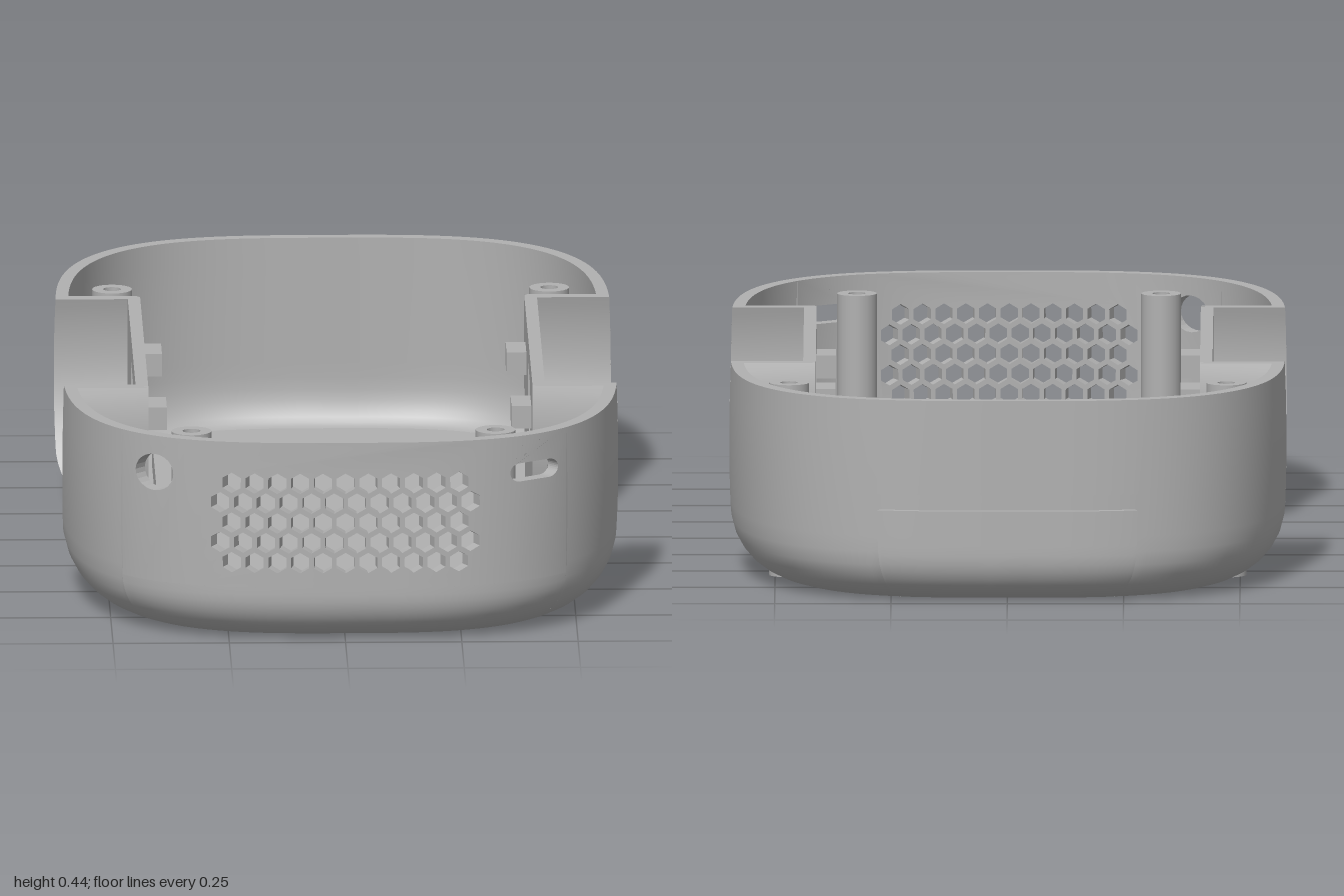
import * as THREE from 'three';

const N = 3.2, Z0 = 0.25, H = 0.44, FLOOR = 0.03, WALL = 0.027;
const WELL = { z: 0.02, y: 0.33, r: 0.425, x: 0.44 };

// Rounded bottom edge: how far the wall pulls in at height y
const inset = (y, r) => (y < r ? r * (1 - Math.sqrt(1 - (1 - Math.max(y, 0) / r) ** 2)) : 0);

// Point on the wall of one end (facing +z); phi runs across the end, inner picks the inside skin
function halfSize(y, inner) {
  const k = inner ? 0.45 : 1, h = inner ? y - FLOOR : y, t = inner ? WALL : 0;
  return [0.6 - t - k * inset(h, 0.12) - 0.15 * (y - 0.28) ** 2, 1 - t - k * inset(h, 0.1)];
}
function wallPoint(phi, y, inner, off = 0) {
  const [a, l] = halfSize(y, inner);
  const x = (a - off) * Math.sign(phi) * Math.abs(Math.sin(phi)) ** (2 / N);
  const z = Z0 + (l - off - Z0) * Math.max(Math.cos(phi), 0) ** (2 / N);
  return new THREE.Vector3(x, y, z);
}
const phiAt = x => Math.sign(x) * Math.asin((Math.abs(x) / 0.6) ** (N / 2));

// Where the round side well cuts the wall; e is 1 for the front end, -1 for the back
const wellZ = (y, e, inner) =>
  e * WELL.z + Math.sqrt((WELL.r + (inner ? 0.03 : 0)) ** 2 - (WELL.y - y) ** 2);
function phiMax(y, e, inner) {
  const l = halfSize(y, inner)[1];
  return Math.acos(Math.max(0, (wellZ(y, e, inner) - Z0) / (l - Z0)) ** (N / 2));
}

// Grid surface from a function of u and v in 0..1
function grid(fn, nu, nv) {
  const pos = [], index = [];
  for (let j = 0; j <= nv; j++) for (let i = 0; i <= nu; i++) pos.push(...fn(i / nu, j / nv).toArray());
  for (let j = 0; j < nv; j++) for (let i = 0; i < nu; i++) {
    const p = j * (nu + 1) + i, q = p + nu + 1;
    index.push(p, p + 1, q + 1, p, q + 1, q);
  }
  const g = new THREE.BufferGeometry();
  g.setAttribute('position', new THREE.Float32BufferAttribute(pos, 3));
  g.setIndex(index);
  g.computeVertexNormals();
  return g;
}

// Flat pierced panel bent onto the curved wall
function bentPanel(shape) {
  const g = new THREE.ExtrudeGeometry(shape, { depth: 1, bevelEnabled: false, curveSegments: 8 });
  const p = g.attributes.position, raw = p.clone();
  for (let i = 0; i < p.count; i++) {
    const v = wallPoint(phiAt(raw.getX(i)), raw.getY(i), raw.getZ(i) < 0.5);
    p.setXYZ(i, v.x, v.y, v.z);
  }
  g.computeVertexNormals();
  const lids = g.groups[0];
  for (let i = lids.start; i < lids.start + lids.count; i++) {
    const f = phiAt(raw.getX(i)), y = raw.getY(i), inner = raw.getZ(i) < 0.5, d = 0.004;
    const du = wallPoint(f + d, y, inner).sub(wallPoint(f - d, y, inner));
    const dv = wallPoint(f, y + d, inner).sub(wallPoint(f, y - d, inner));
    const n = du.cross(dv).normalize().multiplyScalar(inner ? -1 : 1);
    g.attributes.normal.setXYZ(i, n.x, n.y, n.z);
  }
  g.clearGroups();
  return g;
}
function rectShape(x0, x1, y0, y1, n) {
  const pts = [];
  for (let i = 0; i <= n; i++) pts.push(new THREE.Vector2(x0 + (x1 - x0) * i / n, y0));
  for (let i = n; i >= 0; i--) pts.push(new THREE.Vector2(x0 + (x1 - x0) * i / n, y1));
  return new THREE.Shape(pts);
}
function roundHole(x, y, r, n = 24, turn = 0) {
  const pts = [];
  for (let i = 0; i < n; i++) {
    const t = turn - i / n * Math.PI * 2;
    pts.push(new THREE.Vector2(x + r * Math.cos(t), y + r * Math.sin(t)));
  }
  return new THREE.Path(pts);
}

export function createModel() {
  const model = new THREE.Group();
  const grey = new THREE.MeshStandardMaterial({ color: 0xb0b0b0, side: THREE.DoubleSide });
  grey.name = 'plastic grey';
  const add = (name, geometry, parent = model) => {
    const m = new THREE.Mesh(geometry, grey);
    m.name = name;
    parent.add(m);
    return m;
  };

  // The two rounded ends
  const P = phiAt(0.48), S = phiAt(0.28);
  for (const e of [1, -1]) {
    const end = new THREE.Group();
    end.name = e > 0 ? 'frontEnd' : 'backEnd';
    if (e < 0) end.rotation.y = Math.PI;
    model.add(end);
    const strip = (name, from, to, y0, y1, inner, off = 0, nu = 32) =>
      add(name, grid((u, v) => {
        const y = y0 + (y1 - y0) * v * v;
        const a = from(y), b = to(y);
        return wallPoint(a + (b - a) * u, y, inner, off);
      }, nu, 14), end);
    const edge = (s, inner) => y => s * phiMax(y, e, inner);
    const at = f => () => f;
    const mid = e > 0 ? P : S;
    strip('rightCorner', edge(-1, false), at(-mid), 0, H, false);
    strip('leftCorner', at(mid), edge(1, false), 0, H, false);

    if (e > 0) {
      strip('lowerFront', at(-P), at(P), 0, 0.12, false, 0, 48);
      strip('innerLowerFront', at(-P), at(P), FLOOR, 0.12, true, 0, 48);
      strip('innerRight', edge(-1, true), at(-P), FLOOR, H, true);
      strip('innerLeft', at(P), edge(1, true), FLOOR, H, true);
      // Honeycomb vent
      const vent = rectShape(-0.34, 0.34, 0.12, H, 24);
      for (let r = 0; r < 5; r++) {
        const n = 11 + r % 2;
        for (let i = 0; i < n; i++)
          vent.holes.push(roundHole((i - (n - 1) / 2) * 0.049, 0.175 + r * 0.0437, 0.0225, 6, Math.PI / 6));
      }
      add('ventPanel', bentPanel(vent), end);
      // Round port and slot beside the vent
      const port = rectShape(-0.48, -0.34, 0.12, H, 10);
      port.holes.push(roundHole(-0.41, 0.36, 0.04));
      add('portPanel', bentPanel(port), end);
      const slot = rectShape(0.34, 0.48, 0.12, H, 10);
      const s = new THREE.Path();
      s.absarc(0.44, 0.36, 0.02, Math.PI / 2, -Math.PI / 2, true);
      s.absarc(0.376, 0.36, 0.02, -Math.PI / 2, -Math.PI * 1.5, true);
      slot.holes.push(s);
      add('slotPanel', bentPanel(slot), end);
    } else {
      // Shallow groove across the back
      strip('backBelowGroove', at(-S), at(S), 0, 0.2, false, 0, 48);
      strip('grooveBed', at(-S), at(S), 0.2, 0.235, false, 0.015, 48);
      strip('backAboveGroove', at(-S), at(S), 0.235, H, false, 0, 48);
      for (const y of [0.2, 0.235])
        add('grooveLedge', grid((u, v) => wallPoint(S * (2 * u - 1), y, false, 0.015 * v), 48, 1), end);
      strip('innerBack', edge(-1, true), edge(1, true), FLOOR, H, true, 0, 96);
    }

    // Top rim of the end
    add('rim', grid((u, v) => wallPoint((2 * u - 1) * phiMax(H, e, false), H, false)
      .lerp(wallPoint((2 * u - 1) * phiMax(H, e, true), H, true), v), 96, 1), end);

    // Curved well walls, outside and inside, with their rim
    for (const s of [1, -1]) {
      const arch = (y, inner, u) => {
        const x = s * (inner ? WELL.x - WALL : WELL.x);
        return wallPoint(s * phiMax(y, e, inner), y, inner).lerp(new THREE.Vector3(x, y, wellZ(y, e, inner)), u);
      };
      add('wellArch', grid((u, v) => arch(H * v, false, u), 2, 24), end);
      add('wellArchInside', grid((u, v) => arch(FLOOR + (H - FLOOR) * v, true, u), 2, 24), end);
      add('wellRim', grid((u, v) => arch(H, false, u).lerp(arch(H, true, u), v), 2, 1), end);
    }
  }

  // Floor in two layers with speaker and screw holes
  const floorLayer = (name, y, inner, base) => {
    const pts = [];
    for (const e of [1, -1]) {
      const m = phiMax(y, e, inner), zn = wellZ(y, e, false);
      pts.push(new THREE.Vector2(-e * WELL.x, -e * zn));
      for (let i = 0; i <= 64; i++) {
        const p = wallPoint(m * (i / 32 - 1), y, inner);
        pts.push(new THREE.Vector2(e * p.x, -e * p.z));
      }
      pts.push(new THREE.Vector2(e * WELL.x, -e * zn));
    }
    const shape = new THREE.Shape(pts);
    for (const z of [-0.68, 0.73]) {
      shape.holes.push(roundHole(0, -z, 0.115, 48));
      for (const s of [1, -1]) shape.holes.push(roundHole(s * 0.127, -z, 0.011, 12));
    }
    for (const s of [1, -1]) shape.holes.push(roundHole(s * 0.327, -0.79, 0.02, 16));
    const g = new THREE.ExtrudeGeometry(shape, { depth: 0.015, bevelEnabled: false });
    g.rotateX(-Math.PI / 2).translate(0, base, 0);
    add(name, g);
  };
  floorLayer('floorUnderside', 0, false, 0);
  floorLayer('floorTop', FLOOR, true, 0.015);

  // Screw posts
  const profile = [[0.019, 0.003], [0.043, 0.003], [0.043, 0.42], [0.019, 0.42], [0.019, 0.003]];
  for (const [x, z] of [[0.327, 0.79], [0.47, -0.575]]) for (const s of [1, -1])
    for (let i = 0; i < 4; i++) {
      const part = profile.slice(i, i + 2).map(p => new THREE.Vector2(...p));
      add('screwPost', new THREE.LatheGeometry(part, 24)).position.set(s * x, 0, z);
    }

  // Flat side walls with a window, floor rails and wall tabs
  for (const s of [1, -1]) {
    const r = WELL.r + 0.02, a0 = Math.asin(-WELL.y / r), a1 = Math.asin((H - WELL.y) / r);
    const side = new THREE.Shape();
    side.absarc(-WELL.z, WELL.y, r, a0, a1, false);
    side.absarc(-WELL.z, WELL.y, r, Math.PI - a1, Math.PI - a0, false);
    side.holes.push(new THREE.Path([[-0.205, 0.255], [-0.205, 0.385], [0.045, 0.385], [0.045, 0.255]]
      .map(p => new THREE.Vector2(...p))));
    for (const z of [0.225, -0.065]) side.holes.push(roundHole(-z, 0.32, 0.009, 12));
    const g = new THREE.ExtrudeGeometry(side, { depth: WALL, bevelEnabled: false, curveSegments: 24 });
    g.rotateY(Math.PI / 2).translate(s > 0 ? WELL.x - WALL : -WELL.x, 0, 0);
    add('sideWall', g);
    add('floorRail', new THREE.BoxGeometry(0.02, 0.06, 1.33)).position.set(s * 0.374, 0.058, 0.065);
    for (const z of [-0.24, 0.275])
      add('wallTab', new THREE.BoxGeometry(0.045, 0.05, 0.1)).position.set(s * 0.393, 0.34, z);
  }
  return model;
}
